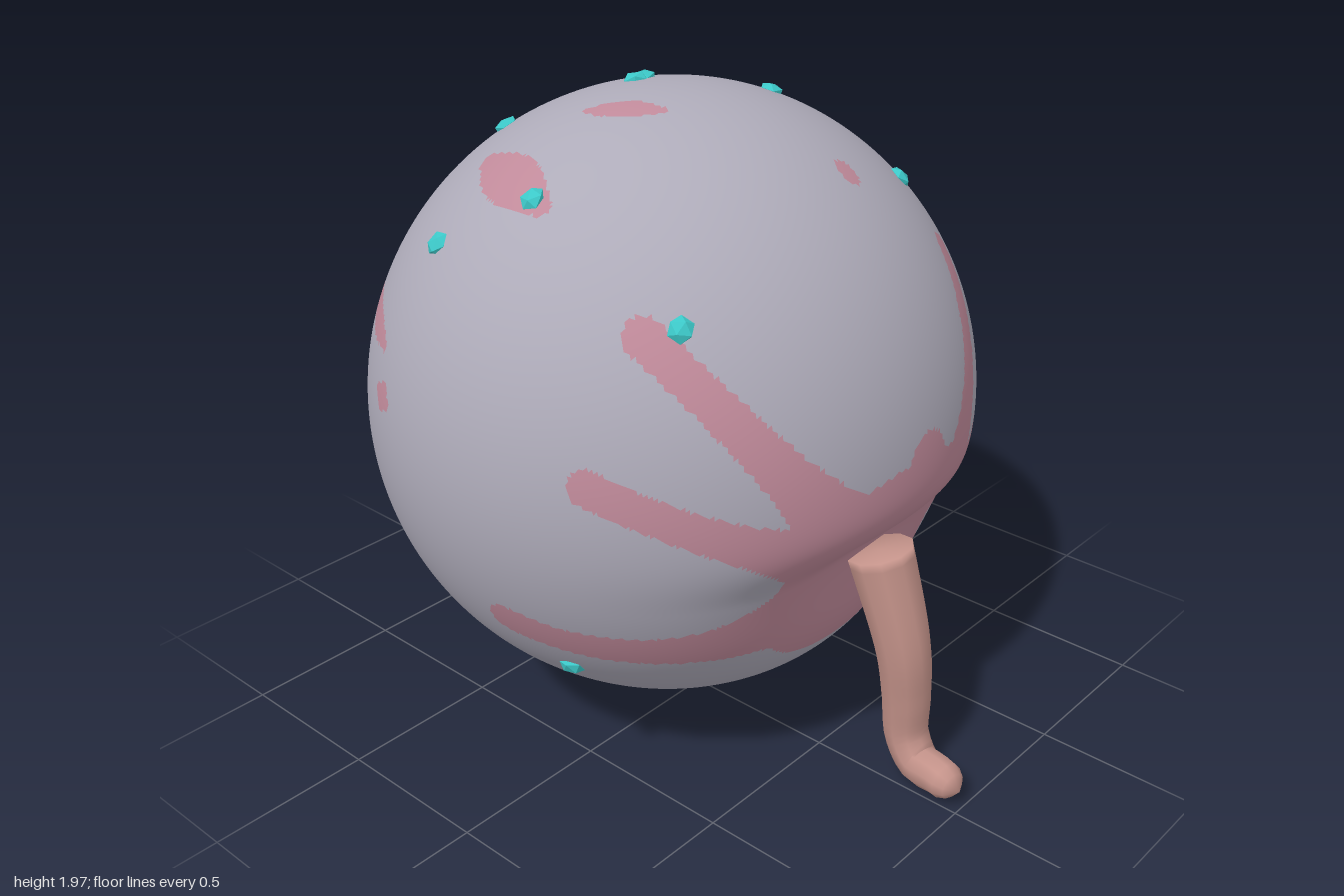
import * as THREE from 'three';
import { mergeVertices } from 'three/addons/utils/BufferGeometryUtils.js';

const CENTER = new THREE.Vector3(0, 1.055, -0.1);
const R = 0.92, RZ = 0.9;

const material = (name, color) => {
  const m = new THREE.MeshStandardMaterial({ color });
  m.name = name;
  return m;
};

// Unit directions on the ball, from two coordinates seen on one side of it
const ux = (x) => x / R, uy = (y) => (y - CENTER.y) / R, uz = (z) => (z - CENTER.z) / RZ;
const rest = (a, b) => Math.sqrt(Math.max(0, 1 - a * a - b * b));
const facingZ = (s) => (x, y) => new THREE.Vector3(ux(x), uy(y), s * rest(ux(x), uy(y))).normalize();
const facingX = (s) => (z, y) => new THREE.Vector3(s * rest(uz(z), uy(y)), uy(y), uz(z)).normalize();
const facingY = (s) => (x, z) => new THREE.Vector3(ux(x), s * rest(ux(x), uz(z)), uz(z)).normalize();
const front = facingZ(1), back = facingZ(-1), left = facingX(1), right = facingX(-1);
const top = facingY(1), bottom = facingY(-1);

// Width rules along a stroke: flared at the root, spindle shaped, or wavy
const flared = (t) => 1 + 1.3 * (1 - t) ** 4;
const spindle = (t) => 0.4 + 0.6 * Math.sin(Math.PI * t);
const wavy = (t) => 1 + 0.33 * Math.cos(5.4 * Math.PI * t) + 1.2 * (1 - t) ** 12;

const stroke = (a, b, width, rule) => ({ a, ab: b.clone().sub(a), width: width / R, rule });
const strokes = (place, rule, rows) =>
  rows.map(([a, b, c, d, w]) => stroke(place(a, b), place(c, d), w, rule));

const rays = strokes(front, flared, [
  [-0.28, 0.98, -0.62, 1.54, 0.055],
  [-0.3, 0.9, -0.8, 1.17, 0.052],
  [-0.3, 0.66, -0.82, 0.66, 0.065],
  [0.24, 0.98, 0.46, 1.52, 0.052],
  [0.3, 0.9, 0.6, 1.08, 0.045],
  [0.3, 0.76, 0.64, 0.82, 0.046],
  [0.25, 0.58, 0.76, 0.55, 0.05],
]);
rays.push(stroke(front(0.04, 1.05), top(0.12, -0.42), 0.042, wavy));

const leftPatches = strokes(left, spindle, [
  [0.32, 0.55, -0.87, 1.1, 0.075],
  [0.28, 0.3, -0.3, 0.32, 0.042],
  [0.35, 1.29, 0.17, 1.4, 0.06],
  [0.27, 0.92, -0.04, 1.06, 0.065],
  [-0.17, 1.53, -0.67, 1.55, 0.055],
  [-0.26, 1.26, -0.33, 1.18, 0.05],
  [-0.3, 1.16, -0.78, 1.33, 0.055],
]);
const rightPatches = strokes(right, spindle, [
  [-0.73, 1.39, -0.45, 1.34, 0.045],
  [-0.45, 1.22, -0.39, 1.2, 0.05],
]);
const topPatches = strokes(top, spindle, [
  [0.16, -0.56, 0.19, -0.51, 0.03],
  [-0.25, -0.18, -0.16, 0.01, 0.048],
  [-0.46, -0.36, -0.57, -0.04, 0.08],
]);
const backStripes = strokes(back, spindle, [
  [-0.19, 0.88, -0.26, 0.51, 0.045],
  [-0.35, 0.91, -0.5, 0.57, 0.042],
  [0.08, 0.85, 0.16, 0.53, 0.055],
  [0.16, 0.54, 0.26, 0.36, 0.035],
]);
const underStripes = strokes(bottom, spindle, [
  [-0.35, -0.44, -0.42, -0.55, 0.035],
  [-0.18, 0.33, -0.39, -0.24, 0.058],
]);
const allStrokes = [rays, leftPatches, rightPatches, topPatches, backStripes, underStripes].flat();

// Rounded blush round the crease, plus every stroke
const q = new THREE.Vector3();
function painted(n) {
  const hub = Math.abs(n.x / 0.41) ** 2.5 + Math.abs((n.y + 0.31) / 0.36) ** 2.5;
  if (n.z > 0 && hub < 1) return true;
  return allStrokes.some(({ a, ab, width, rule }) => {
    const t = THREE.MathUtils.clamp(q.subVectors(n, a).dot(ab) / ab.lengthSq(), 0, 1);
    return q.copy(a).addScaledVector(ab, t).normalize().distanceTo(n) < width * rule(t);
  });
}

// Crease across the front: sharp above, fading slowly below
function dent(n) {
  if (n.z <= 0) return 0;
  const d = n.y + 0.31;
  return 0.125 * Math.exp(-((d / (d > 0 ? 0.12 : 0.3)) ** 2) - (n.x / 0.48) ** 2) * Math.min(1, n.z * 2);
}

// Shared vertices give smooth normals
function smooth(geo) {
  geo.deleteAttribute('uv');
  geo.deleteAttribute('normal');
  const merged = mergeVertices(geo, 1e-5);
  merged.computeVertexNormals();
  return merged;
}

function createBody(skin, blush) {
  const geo = smooth(new THREE.IcosahedronGeometry(1, 72));
  const pos = geo.attributes.position, index = geo.index.array;
  const faces = [[], []];
  const c = new THREE.Vector3(), v = new THREE.Vector3();
  for (let i = 0; i < index.length; i += 3) {
    c.set(0, 0, 0);
    for (let k = 0; k < 3; k++) c.add(v.fromBufferAttribute(pos, index[i + k]));
    faces[painted(c.normalize()) ? 1 : 0].push(index[i], index[i + 1], index[i + 2]);
  }
  for (let i = 0; i < pos.count; i++) {
    v.fromBufferAttribute(pos, i);
    pos.setXYZ(i, v.x * R, v.y * R + CENTER.y, v.z * RZ + CENTER.z - dent(v));
  }
  geo.setIndex(faces[0].concat(faces[1]));
  geo.addGroup(0, faces[0].length, 0);
  geo.addGroup(faces[0].length, faces[1].length, 1);
  geo.computeVertexNormals();
  const mesh = new THREE.Mesh(geo, [skin, blush]);
  mesh.name = 'body';
  return mesh;
}

// Tapering stalk that hangs from the crease and curls forward
function createStalk(mat) {
  const path = new THREE.CatmullRomCurve3([
    [0.01, 0.8, 0.67], [0.04, 0.47, 0.757], [0.06, 0.3, 0.765], [0.07, 0.15, 0.77],
    [0.06, 0.075, 0.825], [0.035, 0.085, 0.91], [0.015, 0.08, 1.0],
  ].map((p) => new THREE.Vector3(...p)));
  const N = 32, S = 10;
  const geo = new THREE.TubeGeometry(path, N, 1, S);
  const pos = geo.attributes.position, v = new THREE.Vector3();
  for (let i = 0; i <= N; i++) {
    const t = i / N, p = path.getPointAt(t);
    // The first ring closes a flat lid, the last one a rounded tip
    const lid = i === 0 ? path.getPointAt(1 / N) : p;
    const r = i === 0 ? 0 : (0.1 - 0.045 * t) * Math.sqrt(Math.min(1, (1 - t) * 18));
    for (let j = 0; j <= S; j++) {
      const id = i * (S + 1) + j;
      v.fromBufferAttribute(pos, id).sub(p).multiplyScalar(r).add(lid);
      pos.setXYZ(id, v.x, v.y, v.z);
    }
  }
  const mesh = new THREE.Mesh(smooth(geo), mat);
  mesh.name = 'stalk';
  return mesh;
}

// Small faceted studs scattered over the skin
function createStuds(mat) {
  const group = new THREE.Group();
  group.name = 'studs';
  const studs = (place, spots) => spots.map((s) => place(...s));
  const topStuds = studs(top, [[-0.24, -0.53], [-0.675, -0.34], [-0.56, -0.08], [0.01, -0.25],
    [0.05, -0.255], [0.35, -0.36], [0.33, -0.01], [0.61, -0.48], [0.47, 0.36], [-0.55, 0.43]]);
  const sideStuds = studs(left, [[-0.27, 1.09], [-0.1, 0.54], [0.23, 0.48], [-0.06, 0.38]]);
  const backStuds = studs(back, [[0.41, 0.65], [0.1, 0.63], [0.01, 1.45], [0.08, 1.39]]);
  const underStuds = studs(bottom, [[-0.03, 0.15], [-0.26, -0.32], [-0.39, -0.31]]);
  const geo = new THREE.IcosahedronGeometry(0.038, 0);
  [...topStuds, ...sideStuds, ...backStuds, ...underStuds, front(-0.68, 0.48)].forEach((n, i) => {
    const stud = new THREE.Mesh(geo, mat);
    stud.name = 'stud';
    stud.position.set(n.x * R, n.y * R, n.z * RZ).add(CENTER);
    stud.quaternion.setFromUnitVectors(new THREE.Vector3(0, 0, 1), n);
    stud.rotateZ(i * 1.3);
    stud.scale.z = 0.6;
    group.add(stud);
  });
  return group;
}

export function createModel() {
  const model = new THREE.Group();
  model.name = 'model';
  model.add(
    createBody(material('greySkin', 0xaeabb9), material('pinkBlush', 0xc08a9a)),
    createStalk(material('stalkSkin', 0xc4938a)),
    createStuds(material('tealStud', 0x3cc8c8)),
  );
  return model;
}
